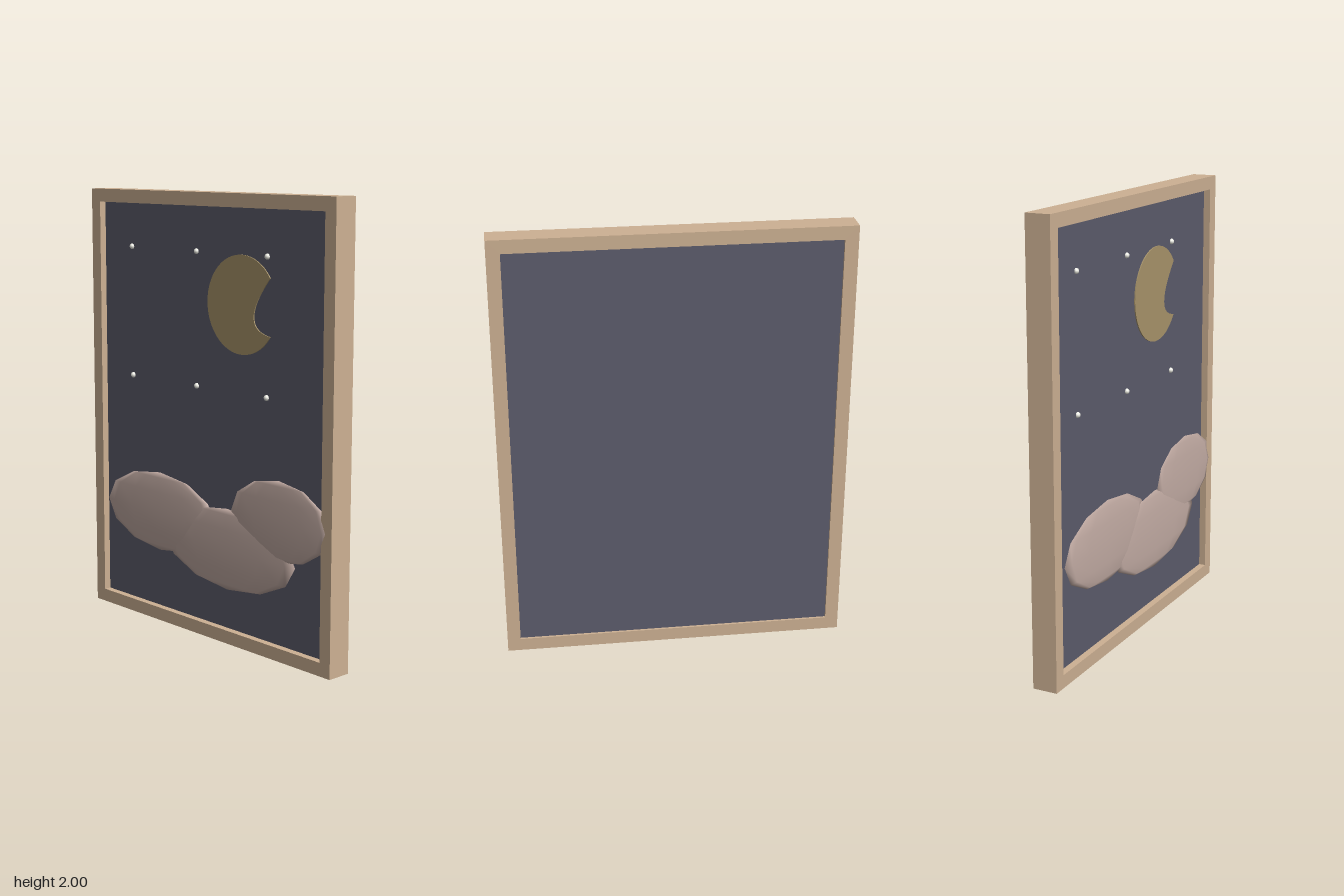
import * as THREE from 'three';

const paint = (color) => new THREE.MeshStandardMaterial({ color });

function add(parent, name, geometry, material, x = 0, y = 0, z = 0) {
  const mesh = new THREE.Mesh(geometry, material);
  mesh.name = name;
  mesh.position.set(x, y, z);
  parent.add(mesh);
  return mesh;
}

// Rectangle path given by half width, bottom and top
function rectangle(path, w, bottom, top) {
  path.moveTo(-w, bottom);
  path.lineTo(w, bottom);
  path.lineTo(w, top);
  path.lineTo(-w, top);
  path.closePath();
  return path;
}

export function createModel() {
  const group = new THREE.Group();
  group.name = 'framedNightSky';

  // Wooden frame
  const outline = rectangle(new THREE.Shape(), 0.782, 0, 2);
  outline.holes.push(rectangle(new THREE.Path(), 0.722, 0.06, 1.94));
  const frameGeometry = new THREE.ExtrudeGeometry(outline, { depth: 0.113, bevelEnabled: false });
  add(group, 'frame', frameGeometry, paint(0xcdb193), 0, 0, -0.061);

  // Night sky panel, recessed more at the front than at the back
  add(group, 'skyPanel', new THREE.BoxGeometry(1.444, 1.88, 0.07), paint(0x5c5c6c), 0, 1, -0.015);

  // Moon: a disc with a curved bite between its two horns
  const moon = new THREE.Shape();
  moon.absarc(0, 0, 0.215, 0.62, Math.PI * 2 - 0.607, false);
  moon.quadraticCurveTo(-0.022, -0.095, 0.175, 0.125);
  const moonGeometry = new THREE.ExtrudeGeometry(moon, { depth: 0.006, bevelEnabled: false, curveSegments: 32 });
  add(group, 'moon', moonGeometry, paint(0xa8946a), 0.21, 1.525, 0.019);

  // Two rows of stars
  const starGeometry = new THREE.SphereGeometry(0.013, 10, 8);
  const starMaterial = paint(0xeeeee6);
  for (const y of [1.14, 1.74]) {
    for (const x of [-0.525, -0.08, 0.365]) add(group, 'star', starGeometry, starMaterial, x, y, 0.021);
  }

  // Overlapping flattened clouds: x, y, z, half width, half height
  const cloudGeometry = new THREE.SphereGeometry(1, 12, 6);
  const cloudMaterial = paint(0xc4ada5);
  const clouds = [
    [-0.31, 0.525, 0.045, 0.38, 0.185],
    [0.15, 0.435, 0.047, 0.42, 0.185],
    [0.47, 0.62, 0.049, 0.295, 0.18],
  ];
  for (const [x, y, z, w, h] of clouds) {
    add(group, 'cloud', cloudGeometry, cloudMaterial, x, y, z).scale.set(w, h, 0.061 - z);
  }
  return group;
}
